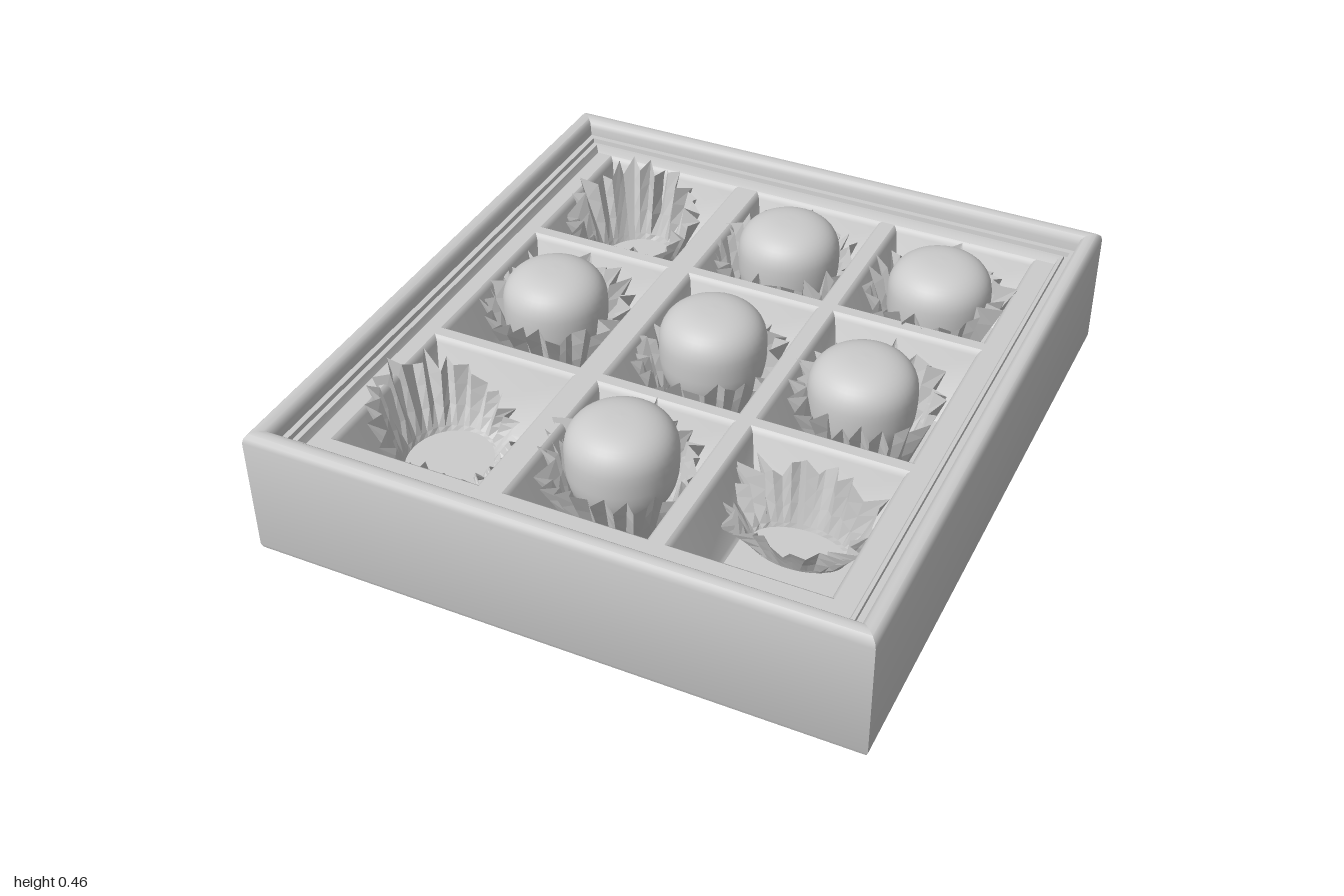
import * as THREE from 'three';
import { toCreasedNormals } from 'three/addons/utils/BufferGeometryUtils.js';

const grey = new THREE.MeshStandardMaterial({ color: 0xcccccc, side: THREE.DoubleSide });
const pleated = new THREE.MeshStandardMaterial({ color: 0xcccccc, side: THREE.DoubleSide, flatShading: true });

function seeded(seed) {
  return () => {
    seed = (seed * 16807) % 2147483647;
    return seed / 2147483647;
  };
}

function addMesh(parent, name, geometry, material = grey) {
  const mesh = new THREE.Mesh(geometry, material);
  mesh.name = name;
  parent.add(mesh);
  return mesh;
}

// Skin through rings of points (each ring counter-clockwise from above), with optional end caps
function skin(rings, capStart, capEnd) {
  const n = rings[0].length, positions = rings.flat(2), index = [];
  for (let r = 0; r < rings.length - 1; r++) {
    for (let k = 0; k < n; k++) {
      const a = r * n + k, b = r * n + (k + 1) % n;
      index.push(a, b, b + n, a, b + n, a + n);
    }
  }
  const last = (rings.length - 1) * n;
  for (let k = 1; k < n - 1; k++) {
    if (capStart) index.push(0, k + 1, k);
    if (capEnd) index.push(last, last + k, last + k + 1);
  }
  const geometry = new THREE.BufferGeometry();
  geometry.setAttribute('position', new THREE.Float32BufferAttribute(positions, 3));
  geometry.setIndex(index);
  geometry.computeVertexNormals();
  return geometry;
}

const rect = (x0, x1, z0, z1, y) => [[x0, y, z0], [x0, y, z1], [x1, y, z1], [x1, y, z0]];

// Pocket openings: extents of each column and row
const columns = [[-0.765, -0.285], [-0.215, 0.23], [0.275, 0.755]];
const rows = [[-0.885, -0.385], [-0.35, 0.235], [0.27, 0.825]];
const TRAY = 0.335, FLOOR = 0.1;

// Outer carton: bottom, wall, rounded rim and stepped inner liner
function makeBox(group) {
  const profile = [
    [0.912, 0], [0.925, 0.006], [0.93, 0.02], [0.93, 0.39], [0.926, 0.406], [0.915, 0.417],
    [0.9, 0.42], [0.885, 0.417], [0.874, 0.407], [0.87, 0.39], [0.868, 0.365], [0.85, 0.365],
    [0.848, 0.35], [0.838, 0.35], [0.836, 0.358], [0.825, 0.358], [0.82, 0.345], [0.815, TRAY],
  ];
  const rings = profile.map(([h, y]) => rect(-h, h, -h - 0.07, h + 0.07, y));
  addMesh(group, 'carton', toCreasedNormals(skin(rings, true, false), 0.75));
}

// Moulded tray: flat top with holes, and a tapered pocket below each hole
function makeTray(group) {
  const top = new THREE.Shape();
  top.moveTo(-0.815, -0.885).lineTo(0.815, -0.885).lineTo(0.815, 0.885).lineTo(-0.815, 0.885).closePath();
  const tray = new THREE.Group();
  tray.name = 'tray';
  group.add(tray);
  for (const [x0, x1] of columns) {
    for (const [z0, z1] of rows) {
      const hole = new THREE.Path();
      hole.moveTo(x0, -z0).lineTo(x1, -z0).lineTo(x1, -z1).lineTo(x0, -z1).closePath();
      top.holes.push(hole);
      const ring = (dx, dz, y) => rect(x0 + dx, x1 - dx, z0 + dz, z1 - dz, y);
      const rings = [
        ring(0, 0, TRAY), ring(0.007, 0.007, TRAY - 0.005), ring(0.014, 0.014, TRAY - 0.018),
        ring(0.055, 0.085, FLOOR + 0.01), ring(0.065, 0.095, FLOOR),
      ];
      addMesh(tray, 'pocket', toCreasedNormals(skin(rings, false, true), 0.7));
    }
  }
  const geometry = new THREE.ShapeGeometry(top);
  geometry.rotateX(-Math.PI / 2);
  addMesh(tray, 'trayTop', geometry).position.y = TRAY;
}

// Pleated paper cup; rx and rz are rim radii, crush adds disorder, lean tips the rim
function makeCup({ x, z, rx = 0.215, rz = 0.22, height = 0.21, crush = 0.15, leanX = 0, leanZ = 0, seed }) {
  const random = seeded(seed * 7919 + 11);
  const pleats = 23, count = pleats * 2;
  const wobble = Array.from({ length: count }, () => random() - 0.5);
  const lift = Array.from({ length: count }, () => random() - 0.5);
  const rings = [0, 0.08, 0.4, 0.72, 1].map((t) => {
    const ring = [];
    for (let k = 0; k < count; k++) {
      const a = (k + wobble[k] * 0.7 * t) / count * Math.PI * 2;
      const fold = (k % 2 ? 1 : -1) * 0.1 * t;
      const spread = 0.66 + 0.34 * t + fold + wobble[k] * crush * t;
      const px = Math.sin(a) * rx * spread, pz = Math.cos(a) * rz * spread;
      const py = height * t * (1 + lift[k] * (0.16 + crush)) + t * (px * leanX + pz * leanZ);
      ring.push([px, Math.max(py, 0), pz]);
    }
    return ring;
  });
  const mesh = new THREE.Mesh(skin(rings.reverse(), false, false), pleated);
  mesh.name = 'paperCup';
  const base = new THREE.Mesh(new THREE.CircleGeometry(1, count).rotateX(-Math.PI / 2), grey);
  base.name = 'cupBase';
  base.scale.set(rx * 0.66, 1, rz * 0.66);
  const cup = new THREE.Group();
  cup.name = 'wrapper';
  cup.add(mesh, base);
  cup.position.set(x, FLOOR + 0.012, z);
  return cup;
}

// Flat-topped rounded sweet, revolved from a superellipse
function makeSweet(x, z, top) {
  const points = [];
  for (let i = 0; i <= 24; i++) {
    const a = -Math.PI / 2 + (i / 24) * Math.PI;
    const c = Math.max(Math.cos(a), 0), s = Math.sin(a);
    const h = s < 0 ? 0.19 : 0.125;
    points.push(new THREE.Vector2(0.163 * c ** 0.76, Math.sign(s) * h * Math.abs(s) ** 0.76));
  }
  const mesh = new THREE.Mesh(new THREE.LatheGeometry(points, 40), grey);
  mesh.name = 'sweet';
  mesh.position.set(x, top - 0.125, z);
  return mesh;
}

export function createModel() {
  const group = new THREE.Group();
  group.name = 'sweetBox';
  makeBox(group);
  makeTray(group);

  // Filled cups: sweet x, z, top height, then cup centre
  const filled = [
    [0.01, -0.63, 0.43, 0.0, -0.61], [0.525, -0.62, 0.43, 0.515, -0.62],
    [-0.535, -0.065, 0.435, -0.535, -0.06], [0.01, -0.05, 0.457, 0.01, -0.02],
    [0.495, -0.04, 0.437, 0.515, -0.03], [0.0, 0.53, 0.463, 0.0, 0.54],
  ];
  filled.forEach(([x, z, top, cx, cz], i) => {
    group.add(makeSweet(x, z, top));
    group.add(makeCup({ x: cx, z: cz, seed: i + 1 }));
  });

  // Empty cups: two leaning open, one crushed against the back of its pocket
  group.add(makeCup({ x: -0.545, z: -0.62, rx: 0.195, rz: 0.235, crush: 0.2, leanX: -0.1, leanZ: -0.1, seed: 21 }));
  group.add(makeCup({ x: -0.57, z: 0.54, rx: 0.195, rz: 0.215, height: 0.15, crush: 0.12, leanX: -0.5, seed: 22 }));
  group.add(makeCup({ x: 0.51, z: 0.465, rx: 0.215, rz: 0.125, height: 0.15, crush: 0.38, leanZ: -0.45, seed: 23 }));
  return group;
}
